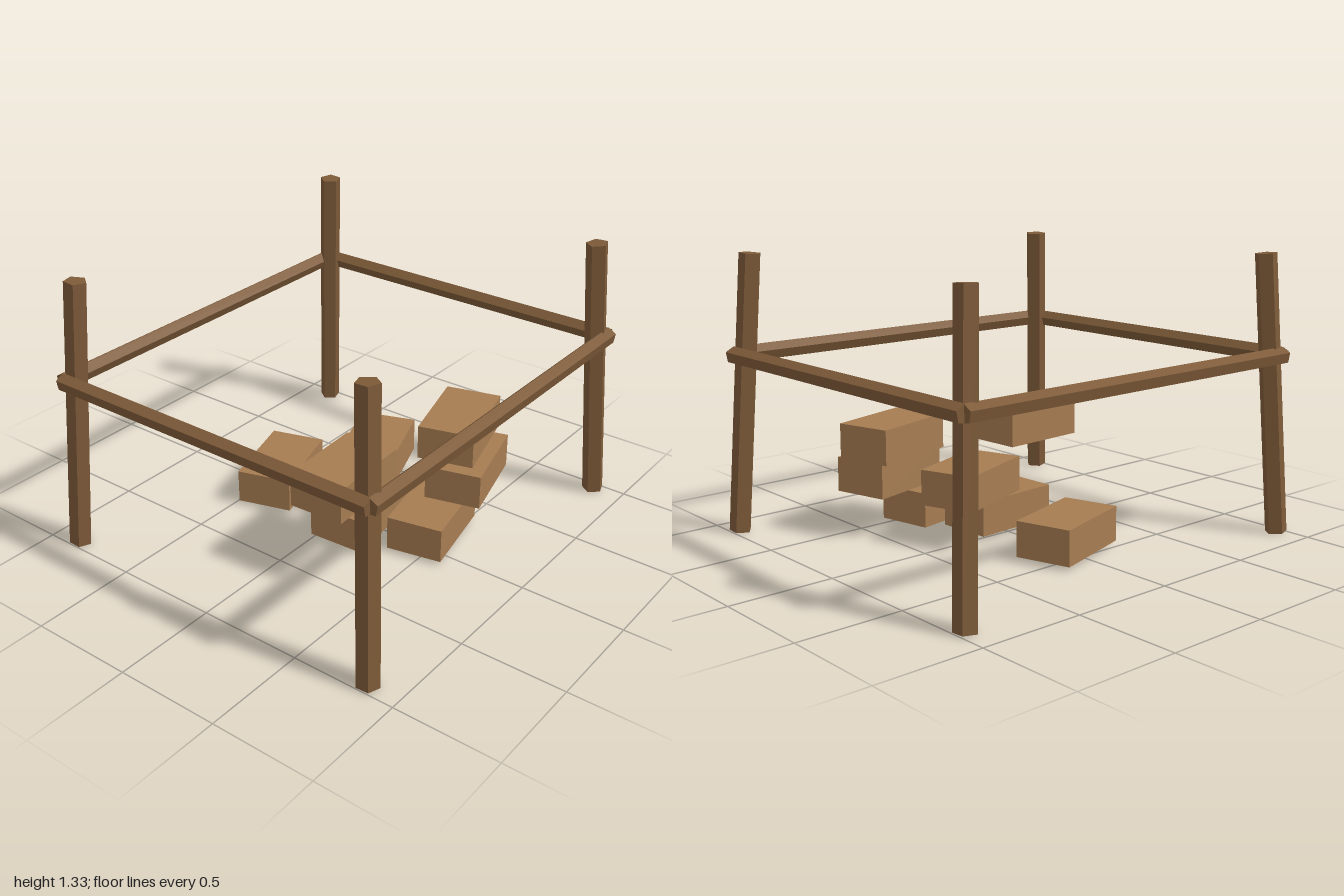
import * as THREE from 'three';

export function createModel() {
  const model = new THREE.Group();
  const darkWood = new THREE.MeshStandardMaterial({ color: 0x7d5a38, flatShading: true });
  darkWood.name = 'dark wood';
  const lightWood = new THREE.MeshStandardMaterial({ color: 0xa67c52, flatShading: true });
  lightWood.name = 'light wood';

  function add(name, geometry, material) {
    const mesh = new THREE.Mesh(geometry, material);
    mesh.name = name;
    model.add(mesh);
    return mesh;
  }

  // Four five-sided posts leaning inward, one corner turned to the middle
  const up = new THREE.Vector3(0, 1, 0);
  for (const sx of [-1, 1]) {
    for (const sz of [-1, 1]) {
      const foot = new THREE.Vector3(sx * 0.956, 0.005, sz * 0.848);
      const head = new THREE.Vector3(sx * 0.884, 1.33, sz * 0.78);
      const axis = head.clone().sub(foot);
      const geometry = new THREE.CylinderGeometry(0.053, 0.053, axis.length(), 5, 1, false, -sx * Math.PI / 2);
      const post = add((sz > 0 ? 'front' : 'back') + (sx > 0 ? 'Left' : 'Right') + 'Post', geometry, darkWood);
      post.position.copy(foot).add(head).multiplyScalar(0.5);
      post.quaternion.setFromUnitVectors(up, axis.normalize());
    }
  }

  // Four five-sided rails joining the posts in a rectangle
  const halfX = 0.957, halfZ = 0.848;
  ['front', 'left', 'back', 'right'].forEach((side, i) => {
    const alongX = i % 2 === 0;
    const length = 2 * (alongX ? halfX : halfZ);
    const offset = alongX ? halfZ : halfX;
    const geometry = new THREE.CylinderGeometry(0.041, 0.041, length, 5, 1, false, 25 * Math.PI / 180);
    geometry.rotateZ(Math.PI / 2);
    geometry.translate(0, 0, offset);
    const rail = add(side + 'Rail', geometry, darkWood);
    rail.position.y = 0.855;
    rail.rotation.y = i * Math.PI / 2;
  });

  // Loose stack of blocks: x, z, layer, turn
  const blocks = [
    [0.005, -0.412, 0, 0.295],
    [-0.032, 0.115, 0, 0.055],
    [0.108, 0.435, 0, 0.2],
    [0.193, 0.039, 1, 0.345],
    [0.35, 0.466, 1, 0.256],
    [-0.326, 0.243, 2, 0.05],
    [0.38, 0.396, 2, 0.27],
  ];
  const blockGeometry = new THREE.BoxGeometry(0.44, 0.167, 0.27);
  blocks.forEach(([x, z, layer, turn], i) => {
    const block = add('block' + (i + 1), blockGeometry, lightWood);
    block.position.set(x, 0.103 + layer * 0.179, z);
    block.rotation.y = turn;
  });

  return model;
}
